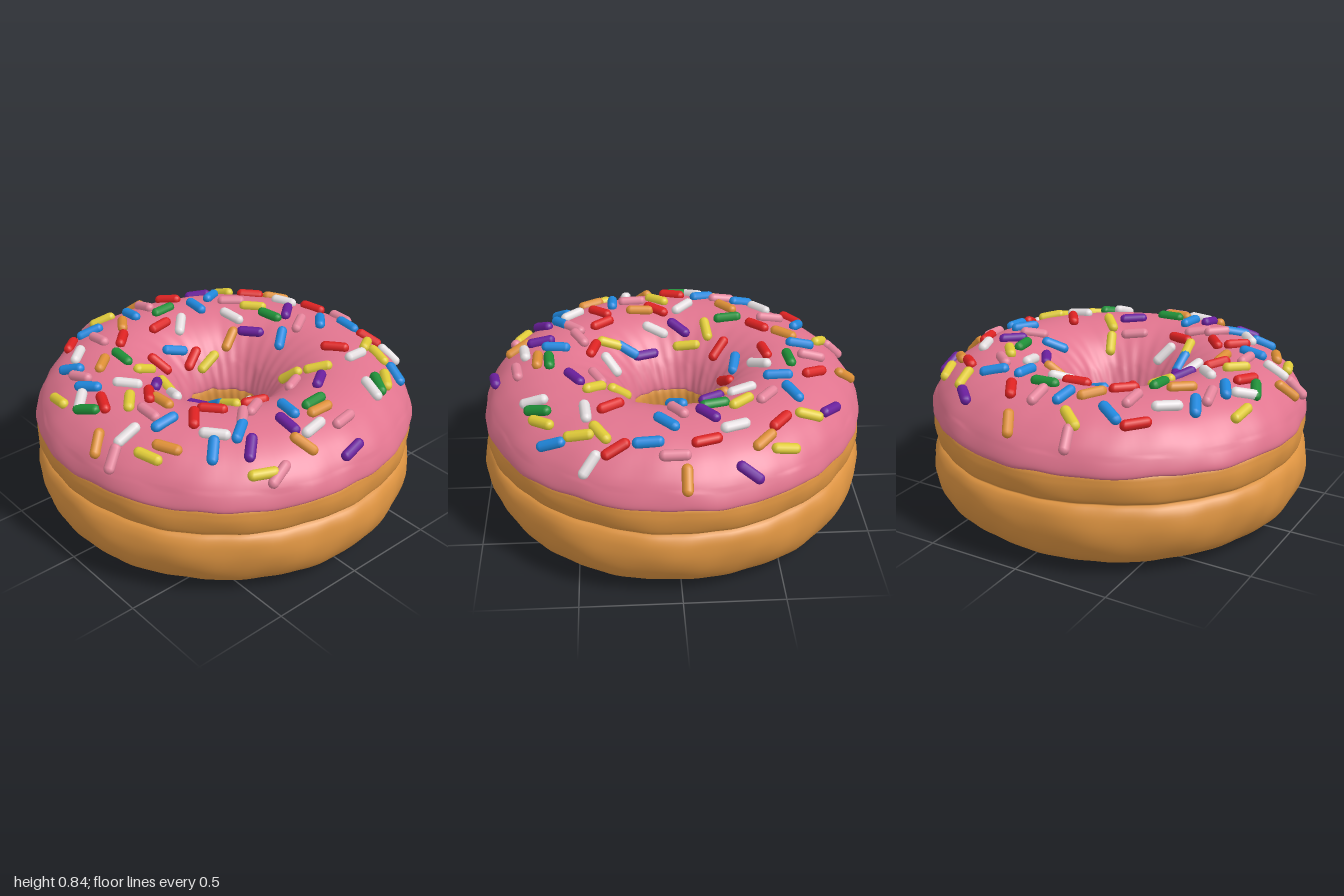
import * as THREE from 'three';
import { mergeVertices } from 'three/addons/utils/BufferGeometryUtils.js';

const material = (name, color) => {
  const m = new THREE.MeshStandardMaterial({ color });
  m.name = name;
  return m;
};

// Smooth curve through [radius, height] points
const smooth = (pts, n) =>
  new THREE.SplineCurve(pts.map(([r, y]) => new THREE.Vector2(r, y))).getPoints(n);

// Hand-made unevenness, periodic around the ring
const bump = (a, y) =>
  0.004 * Math.sin(5 * a + 9 * y) + 0.003 * Math.sin(13 * a - 14 * y) + 0.002 * Math.sin(31 * a + 21 * y);

// Lathe a profile, then roughen it slightly; wave lifts the lower outer rim
function roughRing(profile, rimWave) {
  const g = new THREE.LatheGeometry(profile, 160);
  const p = g.attributes.position;
  for (let i = 0; i < p.count; i++) {
    const x = p.getX(i), y = p.getY(i), z = p.getZ(i);
    const r = Math.hypot(x, z), a = Math.atan2(z, x);
    const k = y < 0.001 ? 1 : (r + bump(a, y)) / r;
    const lift = y < 0.62 ? rimWave * (Math.sin(11 * a) + 0.6 * Math.sin(23 * a + 1)) : 0;
    p.setXYZ(i, x * k, y + lift, z * k);
  }
  g.deleteAttribute('uv');
  g.deleteAttribute('normal');
  const merged = mergeVertices(g, 1e-4);
  merged.computeVertexNormals();
  return merged;
}

// Sprinkles per colour: x, z, turn in degrees seen from above
const SPRINKLES = {
  red: [0xdd2222, [
    -.12, -.76, -15, -.48, -.61, -50, .32, -.49, -35, .30, -.77, -30, -.71, -.19, -30,
    -.48, .30, 45, -.69, .48, 45, .41, .15, -75, -.27, .22, -40, -.29, -.02, 40,
    -.49, .04, 80, .06, .53, 35, .37, .50, 40, -.04, .73, 25, .36, .38, -40]],
  yellow: [0xe0cb38, [
    -.49, -.74, -5, -.63, -.53, 0, -.31, -.48, -40, .28, -.22, -30, .40, -.29, -45,
    .47, -.66, 5, .65, -.52, 35, .37, -.67, 60, -.80, .20, -50, .05, .64, 40,
    .38, .78, -15, -.29, .82, 0, .79, .44, -65, -.25, -.10, 55, .32, .24, 0, -.21, .36, 90, -.10, .31, 0]],
  blue: [0x2088dd, [
    -.57, -.39, 60, -.52, -.24, 3, .06, -.64, 45, .0, -.41, 60, .15, -.76, 0, .60, -.65, 0,
    -.68, .09, 5, -.34, .06, -65, .60, .11, 8, -.70, .35, -60, -.43, .65, -30, -.21, .70, -30,
    .30, .62, 90, .58, .56, 45, .58, .40, 55, .23, .25, 20]],
  green: [0x1f8f38, [
    -.60, -.07, 85, -.18, -.49, -10, .63, -.03, 85, -.33, .41, 0, -.08, .80, -30, .67, -.44, 20]],
  purple: [0x6a1f9c, [
    -.14, -.58, 50, -.18, -.35, -35, .50, -.20, 55, -.06, .40, 50, .68, .19, 0,
    .68, .42, 45, .91, -.01, 70, -.75, -.44, -40, -.31, -.87, 40, .13, .27, -20]],
  white: [0xe4dee0, [
    -.26, -.67, -20, -.33, -.34, -10, .44, -.52, 85, .42, -.80, -50, .69, -.37, 5, -.45, -.07, 40,
    -.52, .55, 50, -.09, .55, -45, .32, .10, 30, .52, .50, -40, .22, .78, 90, -.16, .78, 50,
    .76, .10, 80, .07, .39, 30]],
  orange: [0xdd8f36, [
    -.89, -.08, -15, -.61, .20, 35, -.33, .53, 50, .15, .52, 0, .42, .70, -25, .69, -.01, 90,
    .12, .88, 65, -.02, -.92, 90, -.24, -.25, 60, -.39, -.73, -50, .80, .20, -15]],
  pink: [0xe5859c, [
    0, -.54, 60, -.44, -.43, -50, .39, -.13, 60, -.72, -.03, 0, -.56, .39, 0, .19, .63, 0,
    -.32, .67, -15, .51, .32, 45, .79, -.07, 80, -.88, .23, -15, .48, .22, 60, .83, .38, 60,
    .24, .88, 70, .03, -.83, 0]],
};

export function createModel() {
  const group = new THREE.Group();
  const add = (name, geometry, mat, parent = group) => {
    const mesh = new THREE.Mesh(geometry, mat);
    mesh.name = name;
    parent.add(mesh);
    return mesh;
  };

  // Dough: flat base, fat lower half, groove, upper half, flared hole
  const dough = [
    new THREE.Vector2(0.42, 0), new THREE.Vector2(0.43, 0), new THREE.Vector2(0.78, 0),
    ...smooth([[0.79, 0], [0.86, 0.035], [0.93, 0.09], [0.975, 0.17], [0.992, 0.25], [0.985, 0.32], [0.965, 0.362], [0.942, 0.378]], 28),
    ...smooth([[0.945, 0.382], [0.966, 0.4], [0.977, 0.45], [0.975, 0.5], [0.955, 0.545], [0.85, 0.64], [0.6, 0.72],
      [0.4, 0.66], [0.28, 0.56], [0.222, 0.48], [0.207, 0.42], [0.215, 0.33], [0.25, 0.21], [0.32, 0.1], [0.42, 0]], 60),
  ];
  add('dough', roughRing(dough, 0), material('dough', 0xdb9240));

  // Icing: domed shell with both rims tucked into the dough
  const icing = smooth([[0.95, 0.522], [0.977, 0.53], [0.978, 0.56], [0.955, 0.615], [0.915, 0.672], [0.84, 0.735],
    [0.73, 0.783], [0.6, 0.8], [0.48, 0.782], [0.37, 0.725], [0.285, 0.64], [0.235, 0.55], [0.214, 0.48], [0.23, 0.46]], 70);
  add('icing', roughRing(icing, 0.004), material('icing', 0xe0748e));

  // Height and outward slope of the icing at a given radius
  const surfaceAt = (r) => {
    for (let i = 0; i < icing.length - 1; i++) {
      const a = icing[i], b = icing[i + 1];
      if (a.y > 0.54 && a.x >= r && b.x <= r) {
        const t = (a.x - r) / (a.x - b.x);
        const s = Math.hypot(a.x - b.x, a.y - b.y);
        return { y: a.y + t * (b.y - a.y), nr: (b.y - a.y) / s, ny: (a.x - b.x) / s };
      }
    }
    return { y: 0.6, nr: 0, ny: 1 };
  };

  // Sprinkles: capsules lying on the icing, half sunk
  const capsule = new THREE.CapsuleGeometry(0.027, 0.098, 4, 10);
  const up = new THREE.Vector3(0, 1, 0);
  for (const [name, [color, list]] of Object.entries(SPRINKLES)) {
    const set = new THREE.Group();
    set.name = name + 'Sprinkles';
    group.add(set);
    const mat = material(name + ' sprinkle', color);
    for (let i = 0; i < list.length; i += 3) {
      const [x, z, degrees] = list.slice(i, i + 3);
      const r = Math.hypot(x, z), turn = THREE.MathUtils.degToRad(degrees);
      const s = surfaceAt(r);
      const normal = new THREE.Vector3((x / r) * s.nr, s.ny, (z / r) * s.nr);
      const along = new THREE.Vector3(Math.cos(turn), 0, Math.sin(turn)).projectOnPlane(normal).normalize();
      const mesh = add(name + 'Sprinkle', capsule, mat, set);
      mesh.position.set(x, s.y, z).addScaledVector(normal, 0.01);
      mesh.quaternion.setFromUnitVectors(up, along);
    }
  }
  return group;
}
